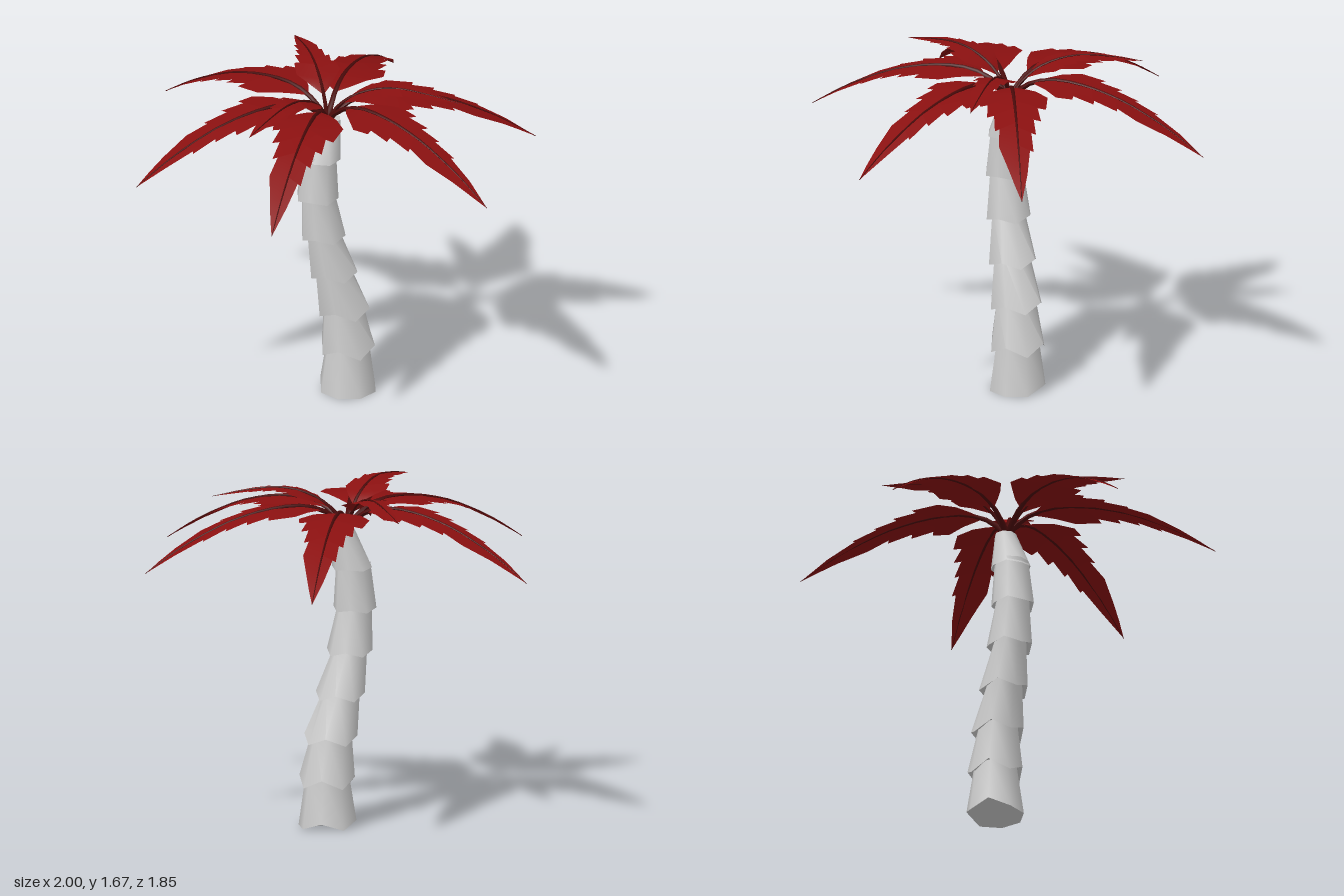
import * as THREE from 'three';
import { toCreasedNormals } from 'three/addons/utils/BufferGeometryUtils.js';

const bark = new THREE.MeshStandardMaterial({ color: 0xcccccc });
const leafRed = new THREE.MeshStandardMaterial({ color: 0x8a1010, side: THREE.DoubleSide });
const ribRed = new THREE.MeshStandardMaterial({ color: 0x4a0a0a });

// Trunk sections: bottom y, bottom centre x, bottom radius, top centre x, top radius, zigzag height
const SECTIONS = [
  [0.00, 0.13, 0.143, 0.13, 0.107, 0],
  [0.225, 0.132, 0.137, 0.105, 0.098, 0.024],
  [0.432, 0.11, 0.131, 0.045, 0.088, 0.02],
  [0.64, 0.055, 0.121, -0.007, 0.08, 0.016],
  [0.85, 0, 0.113, -0.03, 0.082, 0.012],
  [1.06, -0.03, 0.106, -0.02, 0.084, 0.008],
  [1.265, -0.013, 0.099, 0.035, 0.052, 0.004],
];
const TRUNK_TOP = 1.465;

function trunkSection([y0, x0, r0, x1, r1, zig], index) {
  const last = index === SECTIONS.length - 1;
  const y1 = last ? TRUNK_TOP : SECTIONS[index + 1][0] + 0.03;
  const lip = index ? 0.025 : 0.005;
  const profile = [[0, y0 + lip], [r0 * 0.72, y0 + lip], [r0, y0], [r1, y1]];
  if (last) profile.push([0, y1]);
  const n = profile.length;
  const geo = new THREE.LatheGeometry(profile.map(([r, y]) => new THREE.Vector2(r, y)), 8);
  const pos = geo.attributes.position;
  // Lean the section sideways and make its lower rim zigzag
  for (let i = 0; i < pos.count; i++) {
    const ring = i % n, odd = Math.floor(i / n) % 2;
    const t = (pos.getY(i) - y0) / (y1 - y0);
    let y = pos.getY(i);
    if (ring === 1 || ring === 2) {
      y += odd ? zig : -zig;
      if (index === 0 && odd && pos.getZ(i) < 0) y += 0.035;
    }
    pos.setXYZ(i, pos.getX(i) + THREE.MathUtils.lerp(x0, x1, t), y, pos.getZ(i));
  }
  const mesh = new THREE.Mesh(toCreasedNormals(geo, 0.9), bark);
  mesh.name = 'trunkSection';
  return mesh;
}

// Leaf edges as [distance along rib, half width] for a frond of length 1.02
const LEFT = [[0.12, 0], [0.17, 0.06], [0.24, 0.12], [0.32, 0.18], [0.40, 0.165], [0.39, 0.13], [0.50, 0.14],
  [0.49, 0.105], [0.61, 0.108], [0.60, 0.085], [0.71, 0.095], [0.85, 0.055], [0.94, 0.028], [1.02, 0]];
const RIGHT = [[0.12, 0], [0.17, 0.055], [0.23, 0.11], [0.31, 0.165], [0.44, 0.15], [0.43, 0.11], [0.54, 0.12],
  [0.53, 0.085], [0.64, 0.09], [0.63, 0.068], [0.75, 0.072], [0.74, 0.055], [0.88, 0.035], [1.02, 0]];

// Rib arcs as [distance, height]
const LARGE_ARC = [[0, 1.455], [0.06, 1.52], [0.14, 1.567], [0.25, 1.59], [0.4, 1.58], [0.5, 1.559],
  [0.6, 1.53], [0.7, 1.488], [0.8, 1.44], [0.9, 1.382], [1.02, 1.302]];
const SMALL_ARC = [[0, 1.455], [0.05, 1.535], [0.13, 1.605], [0.24, 1.65], [0.35, 1.663], [0.5, 1.645], [0.65, 1.613]];

function heightAt(arc, r) {
  let i = 0;
  while (i < arc.length - 2 && r > arc[i + 1][0]) i++;
  const [a, b] = [arc[i], arc[i + 1]];
  return a[1] + (b[1] - a[1]) * (r - a[0]) / (b[0] - a[0]);
}

// One half of the blade: strips running from rib to the notched edge
function bladeHalf(edge, side, arc, scale) {
  const verts = [], index = [], steps = 2;
  let ribR = 0;
  edge.forEach(([r, w], i) => {
    ribR = Math.max(ribR, r - w * 0.5);
    for (let k = 0; k <= steps; k++) {
      const t = k / steps;
      const d = (ribR + (r - ribR) * t) * scale, z = w * t * scale;
      verts.push(d, heightAt(arc, d) - 0.08 * z, z * side);
    }
    if (i === 0) return;
    for (let k = 0; k < steps; k++) {
      const a = (i - 1) * (steps + 1) + k, b = a + 1, c = a + steps + 1, e = c + 1;
      if (side > 0) index.push(a, b, c, b, e, c);
      else index.push(a, c, b, b, c, e);
    }
  });
  const geo = new THREE.BufferGeometry();
  geo.setAttribute('position', new THREE.Float32BufferAttribute(verts, 3));
  geo.setIndex(index);
  geo.computeVertexNormals();
  const mesh = new THREE.Mesh(geo, leafRed);
  mesh.name = side > 0 ? 'bladeRight' : 'bladeLeft';
  return mesh;
}

// Rib: a tube tapering to the tip
function rib(arc, radius) {
  const curve = new THREE.CatmullRomCurve3(arc.map(([r, y]) => new THREE.Vector3(r, y, 0)));
  const rings = 16, sides = 5;
  const geo = new THREE.TubeGeometry(curve, rings, radius, sides);
  const pos = geo.attributes.position, v = new THREE.Vector3();
  for (let i = 0; i < pos.count; i++) {
    const u = Math.floor(i / (sides + 1)) / rings;
    const centre = curve.getPointAt(u);
    v.fromBufferAttribute(pos, i).sub(centre).multiplyScalar(1 - 0.9 * Math.sqrt(u)).add(centre);
    pos.setXYZ(i, v.x, v.y, v.z);
  }
  geo.computeVertexNormals();
  const mesh = new THREE.Mesh(geo, ribRed);
  mesh.name = 'rib';
  return mesh;
}

function frond(name, [x, z], arc, scale) {
  const group = new THREE.Group();
  group.name = name;
  group.add(bladeHalf(LEFT, 1, arc, scale), bladeHalf(RIGHT, -1, arc, scale), rib(arc, 0.018 * Math.sqrt(scale)));
  group.position.x = 0.02;
  group.rotation.y = -Math.atan2(z, x - 0.02);
  return group;
}

export function createModel() {
  const model = new THREE.Group();
  model.name = 'palmTree';

  const trunk = new THREE.Group();
  trunk.name = 'trunk';
  SECTIONS.forEach((s, i) => trunk.add(trunkSection(s, i)));

  // Crown: six long drooping fronds and three short upper ones, given by tip x, z
  const crown = new THREE.Group();
  crown.name = 'crown';
  const large = [[-1, 0], [-0.42, -0.93], [0.72, -0.75], [1, 0.29], [0.44, 0.92], [-0.63, 0.77]];
  const small = [[0.14, -0.64], [0.54, 0.39], [-0.55, 0.32]];
  large.forEach((tip) => crown.add(frond('largeFrond', tip, LARGE_ARC, 1)));
  small.forEach((tip) => crown.add(frond('smallFrond', tip, SMALL_ARC, 0.635)));

  model.add(trunk, crown);
  return model;
}
